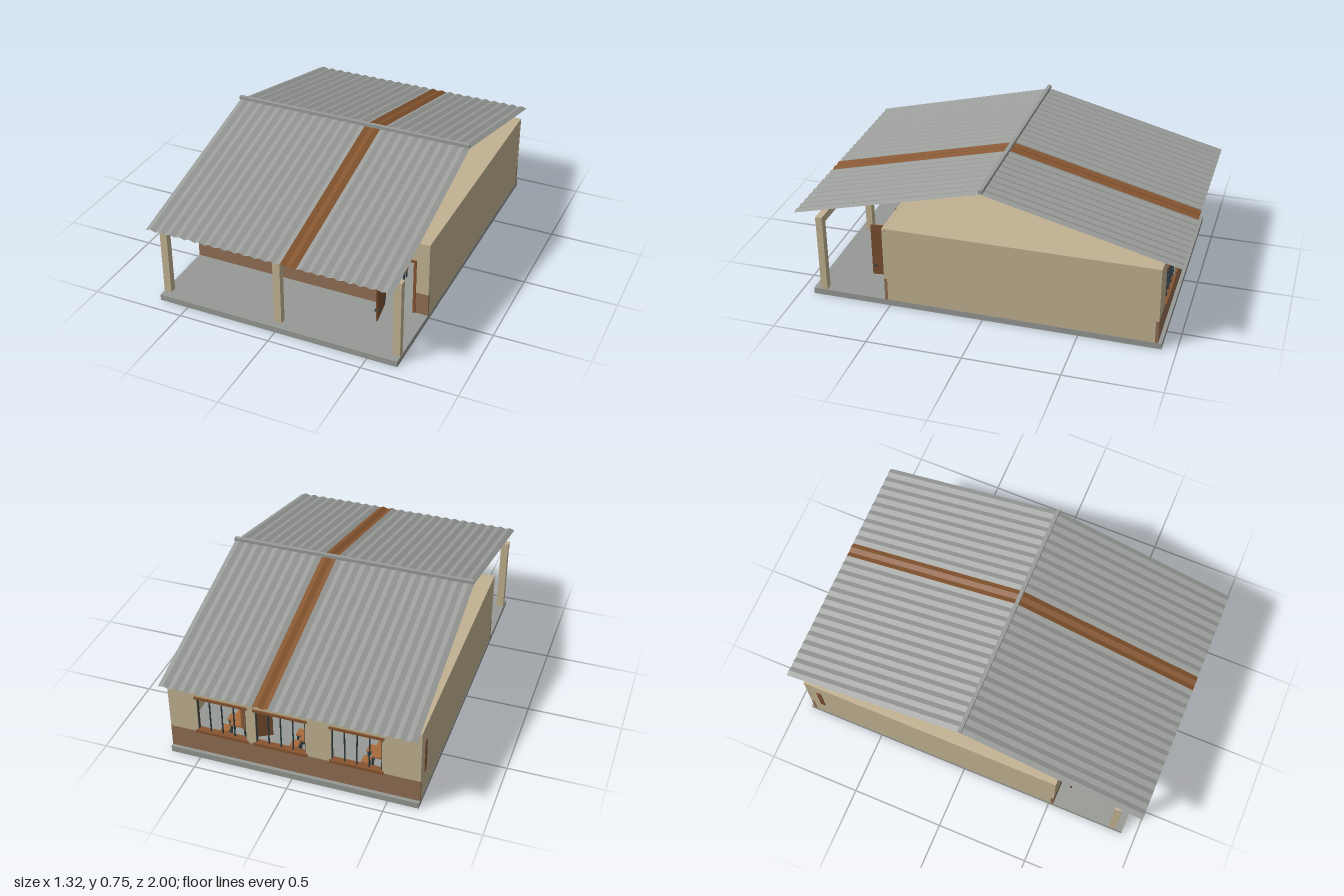
import * as THREE from 'three';

const mat = (name, color, side = THREE.FrontSide) => {
  const m = new THREE.MeshStandardMaterial({ color, side });
  m.name = name;
  return m;
};

export function createModel() {
  const M = {
    wall: mat('tanPlaster', 0xc2b292),
    dado: mat('brownPlaster', 0x916f54),
    concrete: mat('concrete', 0x969994),
    roof: mat('greySheet', 0x989b98, THREE.DoubleSide),
    strip: mat('rustSheet', 0x85552f, THREE.DoubleSide),
    wood: mat('wood', 0x7e5333),
    frame: mat('frameWood', 0x875430),
    top: mat('deskWood', 0xa8693c),
    metal: mat('darkMetal', 0x2f3f45),
  };
  const root = new THREE.Group();
  root.name = 'schoolhouse';

  // box given by its min and max on each axis
  const box = (name, material, [x0, x1], [y0, y1], [z0, z1], parent = root) => {
    const mesh = new THREE.Mesh(new THREE.BoxGeometry(x1 - x0, y1 - y0, z1 - z0), material);
    mesh.position.set((x0 + x1) / 2, (y0 + y1) / 2, (z0 + z1) / 2);
    mesh.name = name;
    parent.add(mesh);
    return mesh;
  };

  // Floor slab and veranda
  const H = 0.66, floor = 0.033, dadoTop = 0.158, wallTop = 0.455;
  box('slab', M.concrete, [-H, H], [0, floor], [-0.925, 0.925]);
  for (const x of [-0.638, -0.002, 0.638])
    box('verandaPost', M.wall, [x - 0.02, x + 0.02], [floor, 0.425], [0.85, 0.886]);
  box('verandaBeam', M.wall, [-H, H], [0.425, 0.465], [0.85, 0.886]);

  // Side walls and flat ceiling
  for (const s of [-1, 1])
    box('sideWall', M.wall, [s * 0.651 - 0.008, s * 0.651 + 0.008], [floor, wallTop], [-0.89, 0.51]);
  box('ceiling', M.wall, [-0.65, 0.65], [wallTop - 0.01, wallTop - 0.001], [-0.89, 0.51]);

  // Upper plaster wall with window holes and an optional door notch
  const winY = [0.17, 0.37];
  function upperWall(name, windows, door, z) {
    const s = new THREE.Shape();
    s.moveTo(-H, dadoTop);
    if (door) {
      s.lineTo(door[0], dadoTop);
      s.lineTo(door[0], 0.34);
      s.lineTo(door[1], 0.34);
      s.lineTo(door[1], dadoTop);
    }
    s.lineTo(H, dadoTop);
    s.lineTo(H, wallTop);
    s.lineTo(-H, wallTop);
    for (const [a, b] of windows) {
      const h = new THREE.Path();
      h.moveTo(a, winY[0]);
      h.lineTo(a, winY[1]);
      h.lineTo(b, winY[1]);
      h.lineTo(b, winY[0]);
      s.holes.push(h);
    }
    const g = new THREE.ExtrudeGeometry(s, { depth: 0.016, bevelEnabled: false });
    const mesh = new THREE.Mesh(g, M.wall);
    mesh.position.z = z;
    mesh.name = name;
    root.add(mesh);
  }

  // Window: lintel, sill, metal bars and two open shutters
  function addWindow([a, b], z) {
    const g = new THREE.Group();
    g.name = 'window';
    root.add(g);
    box('lintel', M.frame, [a - 0.01, b + 0.01], [0.368, 0.382], [z - 0.007, z + 0.023], g);
    box('sill', M.frame, [a - 0.01, b + 0.01], [0.157, 0.173], [z - 0.01, z + 0.026], g);
    for (let i = 0; i <= 4; i++) {
      const x = THREE.MathUtils.lerp(a + 0.002, b - 0.002, i / 4);
      box('windowBar', M.metal, [x - 0.0025, x + 0.0025], [0.173, 0.368], [z + 0.004, z + 0.012], g);
    }
    for (const s of [-1, 1]) {
      const hinge = new THREE.Group();
      hinge.name = 'shutter';
      hinge.position.set(s < 0 ? a : b, 0, z + 0.02);
      hinge.rotation.y = -s * 0.5;
      box('shutterLeaf', M.wood, s < 0 ? [-0.126, 0] : [0, 0.126], [0.175, 0.366], [-0.004, 0.004], hinge);
      g.add(hinge);
    }
  }

  const windows = [[-0.463, -0.204], [-0.069, 0.193]];
  const backWindows = [...windows, [0.244, 0.506]];
  const door = [0.42, 0.58];
  const zf = 0.51, zb = -0.906;
  upperWall('frontWall', windows, door, zf);
  upperWall('backWall', backWindows, null, zb);
  box('frontDado', M.dado, [-H, door[0]], [floor, dadoTop], [zf, zf + 0.016]);
  box('frontDado', M.dado, [door[1], H], [floor, dadoTop], [zf, zf + 0.016]);
  box('backDado', M.dado, [-H, H], [floor, dadoTop], [zb, zb + 0.016]);
  windows.forEach((w) => addWindow(w, zf));
  backWindows.forEach((w) => addWindow(w, zb));
  box('shutterTip', M.wood, [-0.664, -0.655], [0.175, 0.366], [-0.845, -0.82]);

  // Door frame and the leaf standing open
  box('doorJamb', M.frame, [0.411, 0.421], [floor, 0.336], [zf - 0.006, zf + 0.022]);
  box('doorJamb', M.frame, [0.579, 0.593], [floor, 0.336], [zf - 0.006, zf + 0.022]);
  box('doorHead', M.frame, [0.411, 0.593], [0.336, 0.35], [zf - 0.006, zf + 0.022]);
  const leaf = new THREE.Group();
  leaf.name = 'door';
  leaf.position.set(0.424, 0, zf + 0.018);
  leaf.rotation.y = -1.43;
  box('doorLeaf', M.wood, [0, 0.15], [floor + 0.003, 0.336], [-0.004, 0.004], leaf);
  for (const y of [0.078, 0.283])
    box('doorHinge', M.metal, [0, 0.03], [y - 0.006, y + 0.006], [-0.007, 0.007], leaf);
  box('doorHandle', M.metal, [0.125, 0.14], [0.088, 0.096], [-0.014, 0.014], leaf);
  root.add(leaf);

  // Desks with benches
  function table(name, x, z, w, d, h, parent) {
    box(name, M.top, [x - w, x + w], [h - 0.01, h], [z - d, z + d], parent);
    for (const sx of [-1, 1]) for (const sz of [-1, 1]) {
      const lx = x + sx * (w - 0.008), lz = z + sz * (d - 0.008);
      box(name + 'Leg', M.metal, [lx - 0.004, lx + 0.004], [floor, h - 0.01], [lz - 0.004, lz + 0.004], parent);
    }
  }
  for (const x of [-0.42, -0.04, 0.34]) for (const z of [0.32, -0.04, -0.4, -0.72]) {
    const set = new THREE.Group();
    set.name = 'deskSet';
    table('desk', x, z, 0.045, 0.08, 0.155, set);
    for (const dz of [-0.045, 0.045]) table('stool', x + 0.08, z + dz, 0.022, 0.025, 0.095, set);
    root.add(set);
  }

  // Corrugated roof: zigzag strips running from ridge to eave
  const N = 48, ridge = 0.733, eave = 0.48;
  function sheet(name, material, i0, i1, s) {
    const p = [];
    const pt = (i, end) => [-H + (2 * H * i) / N, (end ? eave : ridge) + (i % 2 ? 0.005 : -0.005), end ? s : 0];
    for (let i = i0; i < i1; i++) {
      const a = pt(i, 0), b = pt(i, 1), c = pt(i + 1, 1), d = pt(i + 1, 0);
      const quad = s > 0 ? [a, b, c, a, c, d] : [a, c, b, a, d, c];
      p.push(...quad.flat());
    }
    const g = new THREE.BufferGeometry();
    g.setAttribute('position', new THREE.Float32BufferAttribute(p, 3));
    g.computeVertexNormals();
    const mesh = new THREE.Mesh(g, material);
    mesh.name = name;
    root.add(mesh);
  }
  for (const s of [-1, 1]) {
    sheet('roofSheet', M.roof, 0, 27, s);
    sheet('roofStrip', M.strip, 27, 30, s);
    sheet('roofSheet', M.roof, 30, N, s);
  }
  box('ridgeCap', M.roof, [-H, H], [0.732, 0.75], [-0.01, 0.01]);

  return root;
}
